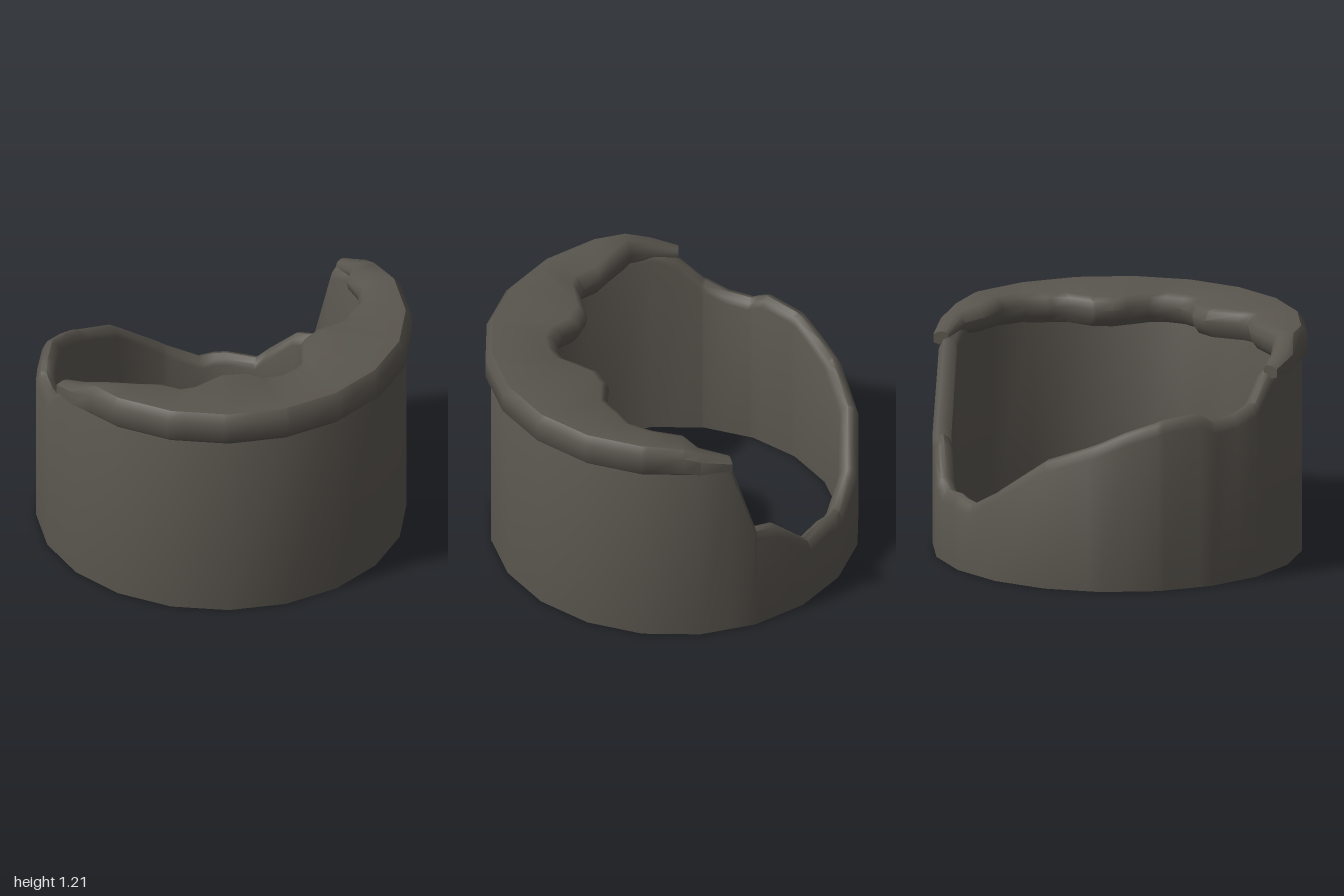
import * as THREE from 'three';
import { toCreasedNormals } from 'three/addons/utils/BufferGeometryUtils.js';

const SIDES = 20, STEP = 360 / SIDES, CENTER_Z = -0.015;
const rad = THREE.MathUtils.degToRad;

// Angles run from the back (0) through +x (90) to the front (180).
// Wall crest: [angle, height]
const WALL = [
  [0, 0.68], [20, 0.46], [31, 0.37], [40, 0.39], [50, 0.37], [64, 0.57], [71, 0.59], [80, 1.07], [90, 1.12],
  [270, 1.12], [279, 1.06], [287, 0.93], [295.5, 0.88], [304, 0.87], [310, 0.92], [322, 0.9], [334, 0.84],
  [346, 0.76], [360, 0.68],
];
// Broken edge of the top plate: [angle, radius]
const PLATE = [
  [80, 0.9], [90, 0.86], [95, 0.78], [106, 0.77], [116.5, 0.73], [123.5, 0.66], [133, 0.61], [142, 0.49],
  [154, 0.46], [164, 0.505], [173, 0.58], [180, 0.605], [189.5, 0.613], [197, 0.59], [206, 0.52], [217.5, 0.525],
  [229.5, 0.655], [235, 0.695], [244, 0.69], [253, 0.75], [262, 0.84], [270, 0.87], [279, 0.9],
];
// Height of the top plate, drooping at its two ends
const PLATE_TOP = [[80, 1.1], [98, 1.21], [262, 1.21], [279, 1.1]];

function lookup(table, a) {
  for (let i = 1; i < table.length; i++) {
    const [a0, v0] = table[i - 1], [a1, v1] = table[i];
    if (a <= a1) return v0 + (v1 - v0) * (a - a0) / (a1 - a0);
  }
  return table[table.length - 1][1];
}

// Table angles merged with the corners of the polygon
function mergedAngles(table) {
  const first = table[0][0], last = table[table.length - 1][0];
  const set = new Set(table.map(([a]) => a));
  for (let a = 0; a <= 360; a += STEP) if (a >= first && a <= last) set.add(a);
  return [...set].sort((p, q) => p - q);
}

// Keeps in-between points on the flat sides of the polygon
const facet = (a) => Math.cos(rad(STEP / 2)) / Math.cos(rad((a % STEP) - STEP / 2));

// Sweeps a closed [radius, height] section around the axis
function sweep(angles, section, capped) {
  const positions = [], index = [];
  const sections = angles.map(section);
  const n = sections[0].length;
  const add = (r, y, a) => {
    positions.push(r * Math.sin(rad(a)), y, CENTER_Z - r * Math.cos(rad(a)));
    return positions.length / 3 - 1;
  };
  sections.forEach((s, i) => s.forEach(([r, y]) => add(r, y, angles[i])));
  for (let i = 0; i < angles.length - 1; i++) {
    for (let j = 0; j < n; j++) {
      const k = (j + 1) % n;
      const a = i * n + j, b = i * n + k, c = a + n, d = b + n;
      index.push(a, b, c, b, d, c);
    }
  }
  if (capped) {
    for (const i of [0, angles.length - 1]) {
      const s = sections[i];
      const mid = add(s.reduce((t, p) => t + p[0], 0) / n, s.reduce((t, p) => t + p[1], 0) / n, angles[i]);
      for (let j = 0; j < n; j++) {
        const a = i * n + j, b = i * n + (j + 1) % n;
        if (i === 0) index.push(mid, b, a);
        else index.push(mid, a, b);
      }
    }
  }
  const geometry = new THREE.BufferGeometry();
  geometry.setAttribute('position', new THREE.Float32BufferAttribute(positions, 3));
  geometry.setIndex(index);
  return toCreasedNormals(geometry, 0.85);
}

export function createModel() {
  const group = new THREE.Group();
  group.name = 'brokenDrum';
  const stone = new THREE.MeshStandardMaterial({ color: 0x59554e });
  stone.name = 'darkStone';

  // Hollow wall with a jagged, bevelled crest
  const wall = new THREE.Mesh(sweep(mergedAngles(WALL), (a) => {
    const f = facet(a), h = lookup(WALL, a);
    return [
      [0.965 * f, 0], [0.965 * f, h - 0.06], [0.94 * f, h - 0.01], [0.91 * f, h],
      [0.88 * f, h - 0.02], [0.865 * f, h - 0.05], [0.865 * f, 0],
    ];
  }, false), stone);
  wall.name = 'brokenWall';

  // Rim and remaining top plate in one sweep
  const plate = new THREE.Mesh(sweep(mergedAngles(PLATE), (a) => {
    const f = facet(a), e = lookup(PLATE, a), top = lookup(PLATE_TOP, a);
    const inset = Math.min(0.06, (0.96 * f - e) / 2);
    const drop = top - 1.03;
    return [
      [0.963 * f, 1.03], [0.995 * f, 1.03 + drop * 0.17], [0.995 * f, 1.03 + drop * 0.78], [0.962 * f, top],
      [e + inset, top], [e + inset * 0.4, top - drop * 0.1], [e, top - drop * 0.35],
      [e + inset * 0.2, 1.03 + drop * 0.35], [e + inset * 0.7, 1.055],
    ];
  }, true), stone);
  plate.name = 'rimAndTopPlate';

  group.add(wall, plate);
  return group;
}
